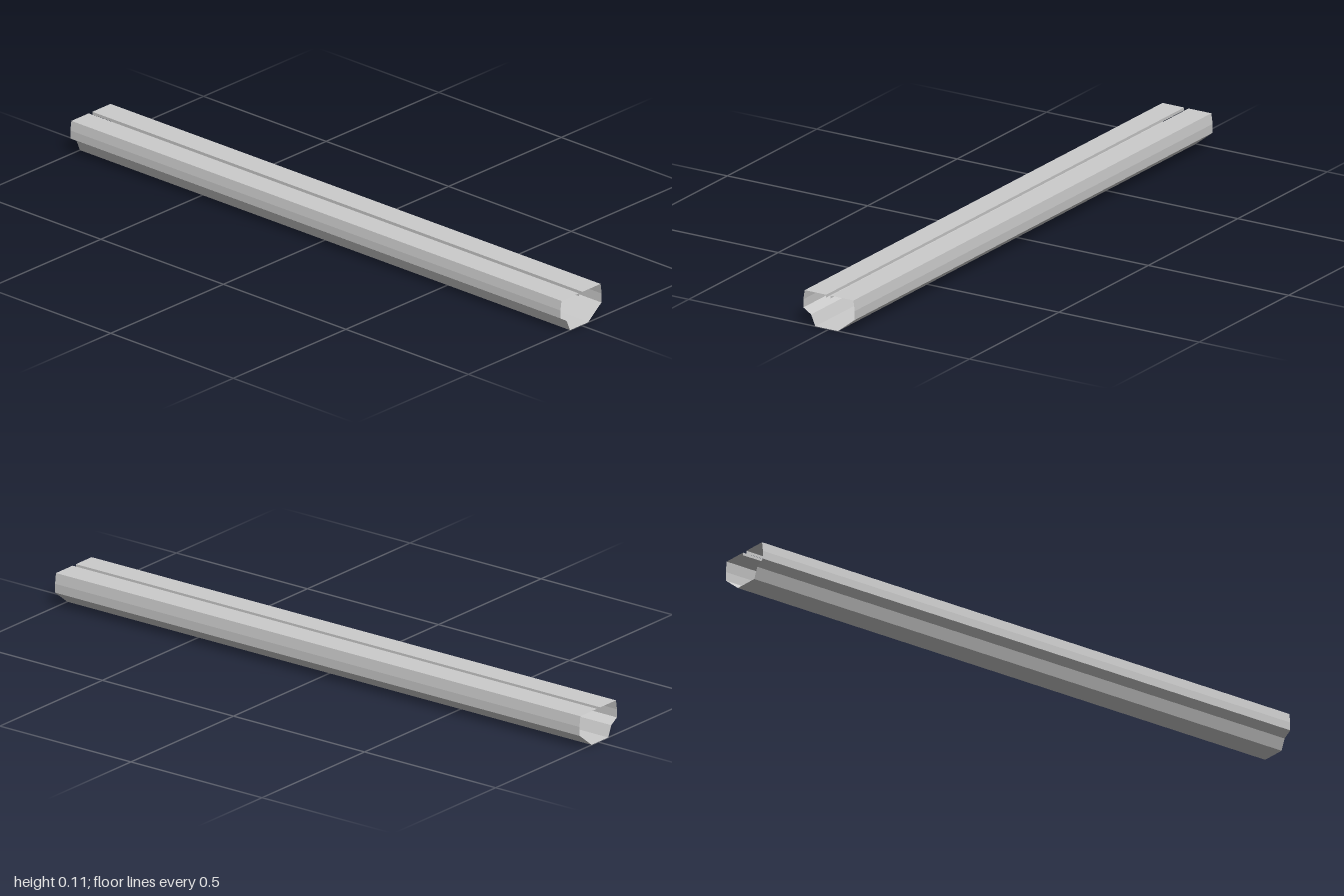
import * as THREE from 'three';

const LENGTH = 2;

// Open thin sheet: a cross-section [x, y] swept straight along z
function sheet(name, profile, material) {
  const pos = [];
  const h = LENGTH / 2;
  for (let i = 0; i < profile.length - 1; i++) {
    const [ax, ay] = profile[i];
    const [bx, by] = profile[i + 1];
    pos.push(ax, ay, h, bx, by, -h, bx, by, h);
    pos.push(ax, ay, h, ax, ay, -h, bx, by, -h);
  }
  const geometry = new THREE.BufferGeometry();
  geometry.setAttribute('position', new THREE.Float32BufferAttribute(pos, 3));
  geometry.computeVertexNormals();
  const mesh = new THREE.Mesh(geometry, material);
  mesh.name = name;
  return mesh;
}

export function createModel() {
  const group = new THREE.Group();
  group.name = 'slottedRail';
  const material = new THREE.MeshStandardMaterial({
    color: 0xcccccc, flatShading: true, side: THREE.DoubleSide,
  });

  const top = 0.108;
  const slotRight = 0.006;
  const slotLeft = -0.01;

  // Top flanges on both sides of the slot
  group.add(sheet('leftTopFlange', [[slotRight, top], [0.087, top]], material));
  group.add(sheet('rightTopFlange', [[-0.087, top], [slotLeft, top]], material));

  // Slightly bulged side walls
  group.add(sheet('leftWall', [[0.087, top], [0.0915, 0.075], [0.0905, 0.046]], material));
  group.add(sheet('rightWall', [[-0.0915, 0.052], [-0.0915, 0.078], [-0.087, top]], material));

  // Trough: sloped on one side, stepped on the other
  group.add(sheet('trough', [
    [0.0905, 0.046], [0.032, 0], [-0.049, 0], [-0.064, 0.035], [-0.0915, 0.052],
  ], material));

  // Small lips folded down at the slot
  group.add(sheet('leftSlotLip', [[slotRight, top], [slotRight, 0.099]], material));
  group.add(sheet('rightSlotLip', [[slotLeft, top], [slotLeft, 0.099]], material));

  return group;
}
